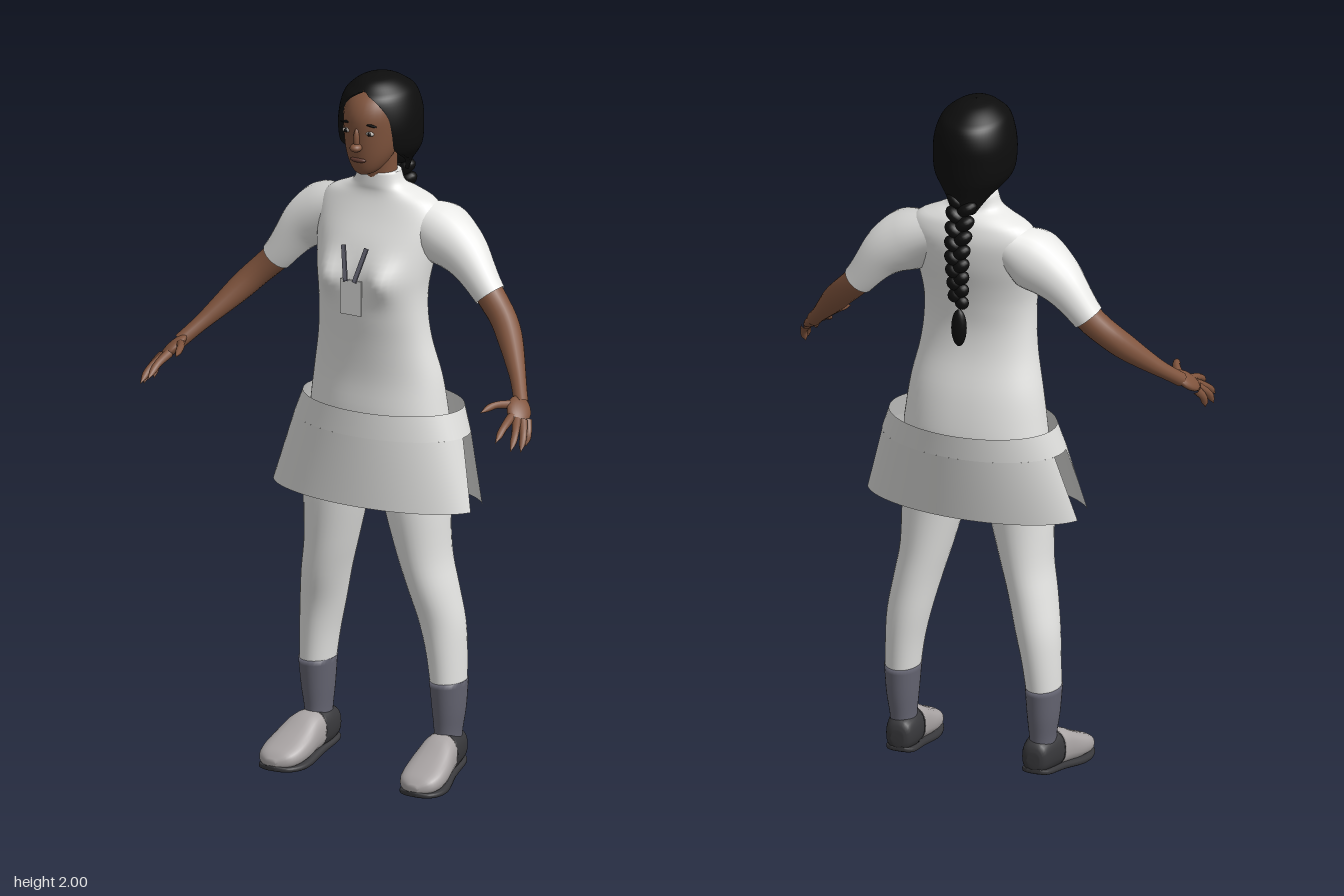
import * as THREE from 'three';
import { ParametricGeometry } from 'three/addons/geometries/ParametricGeometry.js';

const mat = (name, color, side = THREE.FrontSide) => {
  const m = new THREE.MeshStandardMaterial({ color, side });
  m.name = name;
  return m;
};
const V = (x, y, z) => new THREE.Vector3(x, y, z);

// Smooth interpolation through rows of numbers, t in 0..1
function blend(keys, t) {
  const f = Math.min(t, 0.99999) * (keys.length - 1), i = Math.floor(f), k = f - i;
  const at = (n) => keys[Math.max(0, Math.min(keys.length - 1, n))];
  const [a, b, c, d] = [at(i - 1), at(i), at(i + 1), at(i + 2)];
  return b.map((p, n) => p + 0.5 * k * (c[n] - a[n] + k * (2 * a[n] - 5 * p + 4 * c[n] - d[n]
    + k * (3 * (p - c[n]) + d[n] - a[n]))));
}

// Closed body from oval sections [t, centreX, halfWidth, high, low] along y or z
function loft(keys, axis = 'y', shape = null, steps = 4, sides = 32, power = 1) {
  const pos = [], idx = [], rows = (keys.length - 1) * steps;
  const soft = (v) => Math.sign(v) * Math.abs(v) ** power;
  for (let j = 0; j <= rows; j++) {
    const [t, cx, hw, hi, lo] = blend(keys, j / rows);
    for (let i = 0; i < sides; i++) {
      const a = (i / sides) * Math.PI * 2;
      const x = cx + hw * soft(Math.cos(a)), w = (hi + lo) / 2 + (hi - lo) / 2 * soft(Math.sin(a));
      const p = axis === 'y' ? V(x, t, w) : V(x, w, t);
      if (shape) shape(p, Math.sin(a));
      pos.push(p.x, p.y, p.z);
    }
  }
  const tri = (a, b, c) => (axis === 'y' ? idx.push(a, b, c) : idx.push(a, c, b));
  for (let j = 0; j < rows; j++) for (let i = 0; i < sides; i++) {
    const n = (i + 1) % sides, a = j * sides + i, b = j * sides + n;
    tri(a, a + sides, b);
    tri(b, a + sides, b + sides);
  }
  for (let i = 1; i < sides - 1; i++) {
    tri(0, i, i + 1);
    tri(rows * sides, rows * sides + i + 1, rows * sides + i);
  }
  const g = new THREE.BufferGeometry();
  g.setAttribute('position', new THREE.Float32BufferAttribute(pos, 3));
  g.setIndex(idx);
  g.computeVertexNormals();
  return g;
}

// Tube whose radius changes along its path
function limb(points, radii, n = 20, sides = 18) {
  const curve = new THREE.CatmullRomCurve3(points);
  const g = new THREE.TubeGeometry(curve, n, 1, sides), p = g.attributes.position, v = V();
  for (let j = 0; j <= n; j++) {
    const c = curve.getPointAt(j / n), r = blend(radii.map((q) => [q]), j / n)[0];
    for (let i = 0; i <= sides; i++) {
      const k = j * (sides + 1) + i;
      v.fromBufferAttribute(p, k).sub(c).multiplyScalar(r).add(c);
      p.setXYZ(k, v.x, v.y, v.z);
    }
  }
  return g;
}

export function createModel() {
  const group = new THREE.Group();
  const white = mat('white cloth', 0xe6e6e4, THREE.DoubleSide);
  const pale = mat('pale grey cloth', 0xdcdcda, THREE.DoubleSide);
  const skin = mat('skin', 0x80543d);
  const black = mat('black hair', 0x0d0d0d, THREE.DoubleSide);
  const grey = mat('grey knit', 0x656572);
  const shoeGrey = mat('shoe grey', 0xaaa5a5);
  const dark = mat('dark rubber', 0x38383b);
  const eyeWhite = mat('eye white', 0xc8c0b8);
  const lipTone = mat('lip', 0x5f3a30);

  const add = (name, geo, m) => {
    const mesh = new THREE.Mesh(geo, m);
    mesh.name = name;
    group.add(mesh);
    return mesh;
  };
  const ball = (name, m, x, y, z, sx, sy, sz, roll = 0) => {
    const b = add(name, new THREE.SphereGeometry(1, 16, 12), m);
    b.position.set(x, y, z);
    b.scale.set(sx, sy, sz);
    b.rotation.z = roll;
    return b;
  };

  // Torso with bust and collar
  add('shirt', loft([
    [0.80, 0, 0.16, 0.02, -0.15], [0.90, 0, 0.198, 0.045, -0.185], [1.00, 0, 0.205, 0.052, -0.198],
    [1.06, 0, 0.20, 0.052, -0.195], [1.15, 0, 0.188, 0.045, -0.178], [1.25, 0, 0.168, 0.05, -0.15],
    [1.33, 0, 0.16, 0.06, -0.14], [1.40, 0, 0.16, 0.067, -0.145], [1.46, 0, 0.168, 0.062, -0.155],
    [1.53, 0, 0.18, 0.04, -0.17], [1.60, 0, 0.19, 0.005, -0.175], [1.645, 0, 0.165, -0.015, -0.165],
    [1.67, 0, 0.115, -0.022, -0.15], [1.69, 0, 0.075, -0.022, -0.127], [1.725, 0, 0.062, -0.025, -0.12],
  ], 'y', (p, front) => {
    if (front > 0) p.z += 0.032 * Math.exp(-(((Math.abs(p.x) - 0.085) / 0.04) ** 2) - ((p.y - 1.445) / 0.05) ** 2);
  }, 4, 56, 0.9), white);

  // Flared skirt: closed band on top, front and back panels with side slits below
  const ring = (k, a, out) => {
    const [y, rx, zf, zb] = k;
    out.set(rx * Math.cos(a), y, (zf + zb) / 2 + (zf - zb) / 2 * Math.sin(a));
  };
  const top = [1.06, 0.24, 0.06, -0.25], mid = [0.99, 0.265, 0.068, -0.243], hem = [0.795, 0.32, 0.085, -0.21];
  const mix = (a, b, t) => a.map((v, i) => v + (b[i] - v) * t);
  add('skirtBand', new ParametricGeometry((u, v, o) => ring(mix(top, mid, v), -u * Math.PI * 2, o), 64, 2), pale);
  const panel = (name, a0, a1) => add(name, new ParametricGeometry((u, v, o) => {
    const edge = a0 + (a1 - a0) * v;
    const end = (name === 'skirtFront' ? Math.PI : -Math.PI) - edge;
    ring(mix(mid, hem, v), edge + (end - edge) * u, o);
  }, 40, 4), pale);
  panel('skirtFront', 0.10, 0.22);
  panel('skirtBack', -0.29, -0.26);

  // Badge and its strap
  const badge = add('badge', new THREE.BoxGeometry(0.066, 0.1, 0.006), pale);
  badge.position.set(0, 1.395, 0.083);

  for (const s of [1, -1]) {
    const side = s > 0 ? 'left' : 'right';
    const P = (x, y, z) => V(x * s, y, z);

    const strap = add(side + 'Strap', new THREE.BoxGeometry(0.012, 0.1, 0.006), grey);
    strap.position.set(0.025 * s, 1.488, 0.076);
    strap.rotation.set(-0.3, 0, -0.23 * s);

    // Legs, socks and shoes
    const L = (rows) => rows.map(([t, cx, ...r]) => [t, cx * s, ...r]);
    add(side + 'Leg', loft(L([
      [0.27, 0.207, 0.047, -0.03, -0.155], [0.36, 0.20, 0.053, -0.025, -0.162], [0.45, 0.188, 0.061, -0.015, -0.165],
      [0.55, 0.168, 0.066, 0.01, -0.16], [0.65, 0.146, 0.073, 0.025, -0.155], [0.80, 0.125, 0.092, 0.04, -0.155],
      [0.92, 0.11, 0.095, 0.035, -0.165]])), white);
    add(side + 'Sock', loft(L([
      [0.08, 0.205, 0.036, -0.04, -0.14], [0.13, 0.205, 0.036, -0.045, -0.142],
      [0.20, 0.207, 0.044, -0.037, -0.152], [0.282, 0.207, 0.05, -0.027, -0.158]])), grey);
    const heelCut = [-0.055, 0.207, 0.05, 0.135, 0.025];
    add(side + 'ShoeHeel', loft(L([
      [-0.157, 0.20, 0.018, 0.10, 0.055], [-0.145, 0.20, 0.036, 0.125, 0.04],
      [-0.10, 0.202, 0.047, 0.135, 0.03], heelCut]), 'z', null, 4, 24, 0.8), dark);
    add(side + 'ShoeUpper', loft(L([
      heelCut, [-0.02, 0.212, 0.055, 0.128, 0.02], [0.03, 0.217, 0.063, 0.10, 0.013], [0.08, 0.221, 0.063, 0.075, 0.01],
      [0.115, 0.223, 0.048, 0.058, 0.012], [0.135, 0.224, 0.015, 0.04, 0.02]]), 'z', null, 4, 24, 0.8), shoeGrey);
    add(side + 'Sole', loft(L([
      [-0.155, 0.20, 0.02, 0.055, 0.04], [-0.13, 0.20, 0.042, 0.05, 0.03], [-0.05, 0.207, 0.05, 0.04, 0.015],
      [0.03, 0.217, 0.064, 0.027, 0.0], [0.08, 0.221, 0.064, 0.022, 0.0], [0.118, 0.223, 0.048, 0.022, 0.004],
      [0.137, 0.224, 0.014, 0.024, 0.01]]), 'z', null, 4, 24, 0.6), dark);

    // Sleeve, arm and hand
    add(side + 'Sleeve', limb([P(0.11, 1.59, -0.10), P(0.18, 1.562, -0.10), P(0.25, 1.515, -0.10), P(0.338, 1.408, -0.093)],
      [0.06, 0.086, 0.073, 0.055, 0.045], 24, 24), white);
    add(side + 'Arm', limb([P(0.28, 1.48, -0.098), P(0.338, 1.408, -0.093), P(0.40, 1.345, -0.068), P(0.485, 1.245, 0.015),
      P(0.54, 1.18, 0.085)], [0.036, 0.04, 0.038, 0.036, 0.029, 0.022, 0.02]), skin);
    const palm = add(side + 'Palm', new THREE.SphereGeometry(1, 16, 12), skin);
    const along = P(0.03, -0.045, 0.065).normalize();
    const thin = new THREE.Vector3().crossVectors(along, P(0.033, -0.015, -0.045)).normalize();
    const across = new THREE.Vector3().crossVectors(thin, along);
    palm.quaternion.setFromRotationMatrix(new THREE.Matrix4().makeBasis(across, thin, along));
    palm.scale.set(0.036, 0.016, 0.052);
    palm.position.copy(P(0.547, 1.168, 0.11));
    [[[0.530, 1.18, 0.10], [0.498, 1.188, 0.155], [0.482, 1.178, 0.208]],
      [[0.543, 1.16, 0.14], [0.548, 1.142, 0.195], [0.55, 1.112, 0.243]],
      [[0.558, 1.152, 0.14], [0.578, 1.122, 0.185], [0.586, 1.088, 0.222]],
      [[0.570, 1.148, 0.128], [0.590, 1.115, 0.16], [0.596, 1.077, 0.185]],
      [[0.574, 1.145, 0.11], [0.588, 1.115, 0.13], [0.588, 1.082, 0.143]],
    ].forEach((f, i) => add(side + (i ? 'Finger' : 'Thumb'),
      limb(f.map((p) => P(...p)), [0.013, 0.012, 0.0105, 0.0095, 0.001], 10, 8), skin));

    // Eyes and brows
    ball(side + 'Eye', eyeWhite, 0.037 * s, 1.86, 0.044, 0.013, 0.0065, 0.006);
    ball(side + 'Iris', black, 0.037 * s, 1.86, 0.0475, 0.0055, 0.006, 0.005);
    ball(side + 'Brow', black, 0.038 * s, 1.884, 0.043, 0.02, 0.0035, 0.006, -0.1 * s);
  }

  // Neck, head, nose and mouth
  add('neck', loft([[1.68, 0, 0.052, -0.025, -0.122], [1.73, 0, 0.05, -0.022, -0.12], [1.81, 0, 0.052, -0.01, -0.12]]), skin);
  add('head', loft([
    [1.732, 0, 0.015, 0.025, -0.015], [1.742, 0, 0.034, 0.037, -0.04], [1.765, 0, 0.053, 0.045, -0.075],
    [1.80, 0, 0.069, 0.05, -0.11], [1.85, 0, 0.079, 0.053, -0.14], [1.90, 0, 0.081, 0.053, -0.15],
    [1.94, 0, 0.073, 0.033, -0.14], [1.968, 0, 0.05, -0.005, -0.12], [1.98, 0, 0.015, -0.05, -0.08]]), skin);
  ball('noseTip', skin, 0, 1.818, 0.056, 0.017, 0.012, 0.02);
  ball('noseBridge', skin, 0, 1.842, 0.05, 0.009, 0.032, 0.014);
  ball('mouth', lipTone, 0, 1.78, 0.045, 0.025, 0.007, 0.009);

  // Hair shell open at the face: [y, halfWidth, centreZ, halfDepth, opening angle]
  const hairRows = [
    [2.0, 0.002, -0.07, 0.002, 0], [1.99, 0.045, -0.07, 0.055, 0], [1.968, 0.078, -0.075, 0.092, 0],
    [1.945, 0.096, -0.077, 0.117, 0.4], [1.90, 0.11, -0.08, 0.128, 0.72], [1.85, 0.114, -0.08, 0.128, 0.85],
    [1.80, 0.109, -0.085, 0.12, 0.95], [1.77, 0.09, -0.1, 0.1, 1.2], [1.74, 0.062, -0.13, 0.065, 1.5],
    [1.70, 0.035, -0.165, 0.03, 1.6]];
  add('hair', new ParametricGeometry((u, v, o) => {
    const [y, rx, cz, rz, open] = blend(hairRows, v);
    const gap = Math.max(0, open), a = gap + u * (Math.PI * 2 - 2 * gap);
    const tuck = gap > 0.02 && (u < 0.001 || u > 0.999) ? 0.78 : 1;
    o.set(rx * tuck * Math.sin(a), y, cz + rz * tuck * Math.cos(a));
  }, 56, 40), black);

  // Braid of alternating strands, with a loose end
  for (let i = 0; i < 17; i++) {
    const s = i % 2 ? 1 : -1, y = 1.755 - 0.0195 * i, r = 0.034 - 0.0009 * i;
    const z = -0.165 - 0.05 * Math.sin(Math.min(1, i / 10) * Math.PI / 2) + Math.max(0, i - 10) * 0.002;
    ball('braidStrand', black, 0.016 * s * (1 - i * 0.025), y, z, r, 0.02, r * 0.85, 0.6 * s);
  }
  ball('braidEnd', black, 0, 1.365, -0.2, 0.022, 0.055, 0.017);

  return group;
}
